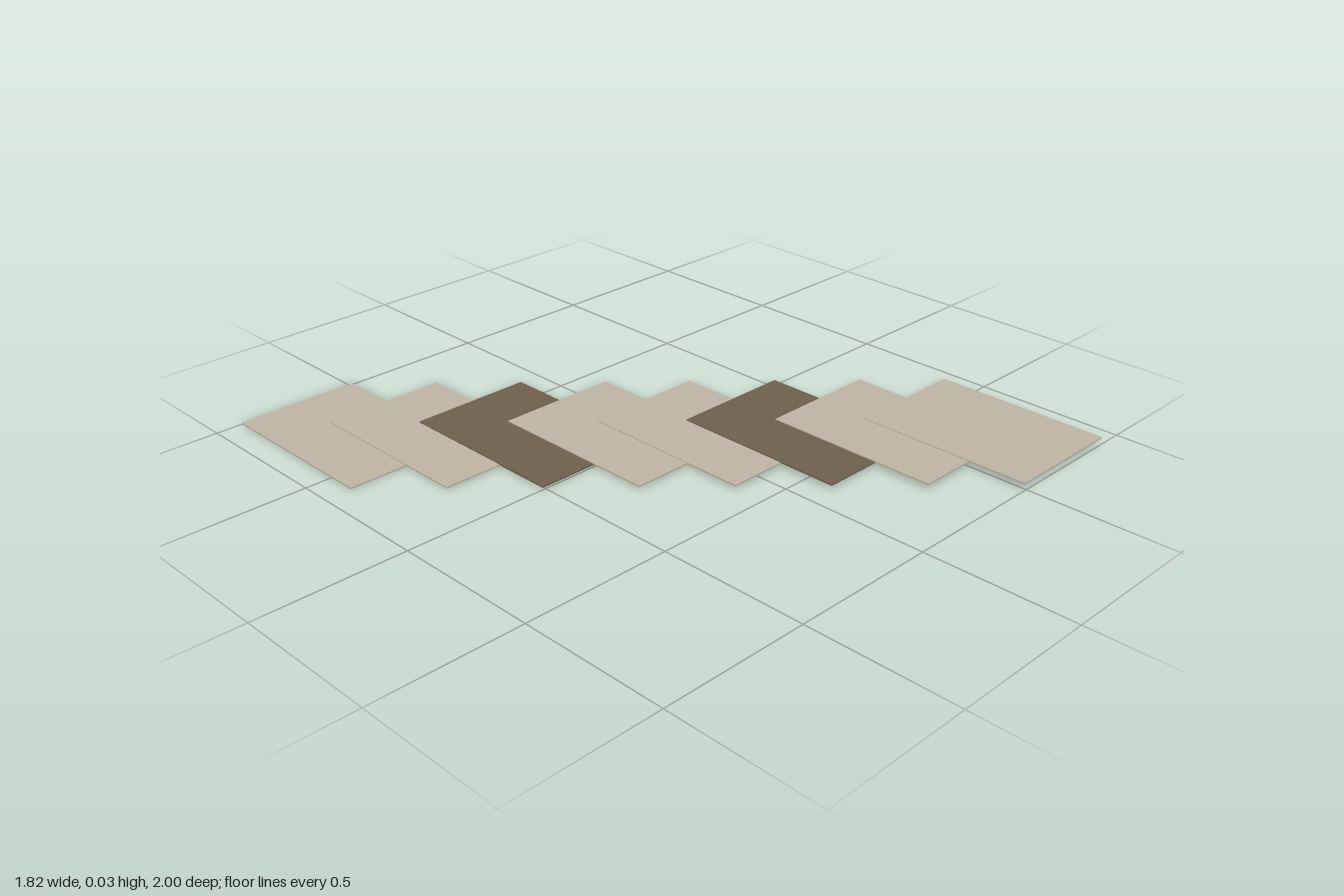
import * as THREE from 'three';

const paleCard = new THREE.MeshStandardMaterial({ color: 0xbdb4a4 });
paleCard.name = 'pale card';
const brownCard = new THREE.MeshStandardMaterial({ color: 0x6e604c });
brownCard.name = 'brown card';

const COUNT = 8;
const WIDTH = 0.42, THICKNESS = 0.005, DEPTH = 0.6;
const STEP = 0.2, RISE = 0.003;

export function createModel() {
  const model = new THREE.Group();
  model.name = 'cardRow';

  // Thin overlapping cards, each a step further along the diagonal and slightly higher
  const cardGeometry = new THREE.BoxGeometry(WIDTH, THICKNESS, DEPTH);
  for (let i = 0; i < COUNT; i++) {
    const offset = (i - (COUNT - 1) / 2) * STEP;
    // Every third card is brown
    const card = new THREE.Mesh(cardGeometry, i % 3 === 2 ? brownCard : paleCard);
    card.name = `card${i + 1}`;
    card.position.set(offset, THICKNESS / 2 + i * RISE, offset);
    model.add(card);
  }
  return model;
}
